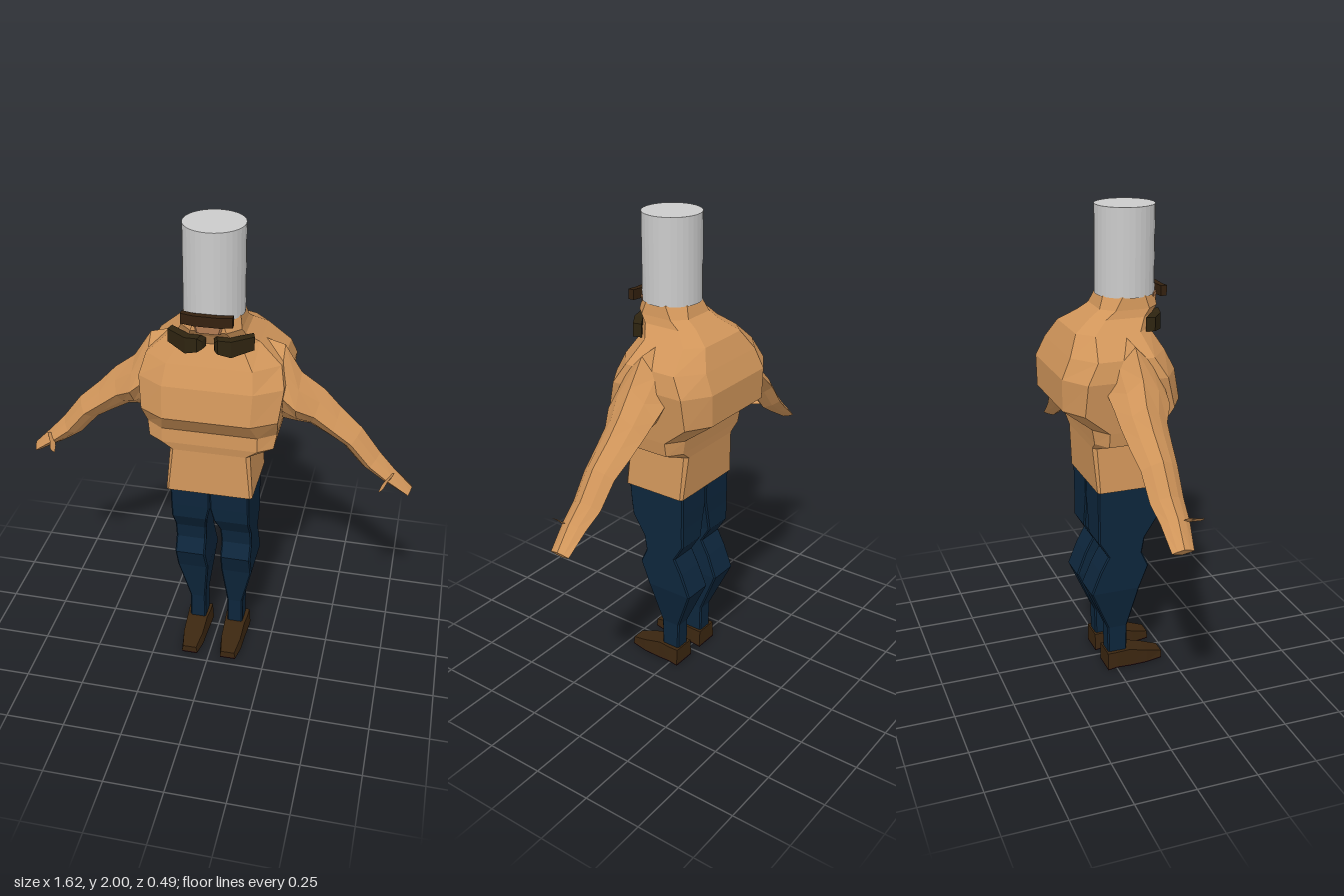
import * as THREE from 'three';

const mat = (name, color) => {
  const m = new THREE.MeshStandardMaterial({ color });
  m.name = name;
  return m;
};

// Faceted closed solid through equal-length rings of [x, y, z] points, wound outward.
function loft(rings) {
  const n = rings[0].length, tris = [];
  for (let r = 0; r < rings.length - 1; r++) {
    for (let i = 0; i < n; i++) {
      const j = (i + 1) % n, a = rings[r], b = rings[r + 1];
      tris.push([a[i], a[j], b[j]], [a[i], b[j], b[i]]);
    }
  }
  const last = rings[rings.length - 1];
  for (let i = 1; i < n - 1; i++) {
    tris.push([rings[0][0], rings[0][i + 1], rings[0][i]], [last[0], last[i], last[i + 1]]);
  }
  let volume = 0;
  for (const [a, b, c] of tris) {
    volume += a[0] * (b[1] * c[2] - b[2] * c[1]) + a[1] * (b[2] * c[0] - b[0] * c[2]) + a[2] * (b[0] * c[1] - b[1] * c[0]);
  }
  const ordered = volume < 0 ? tris.map(([a, b, c]) => [a, c, b]) : tris;
  const geo = new THREE.BufferGeometry();
  geo.setAttribute('position', new THREE.Float32BufferAttribute(ordered.flat(2), 3));
  geo.computeVertexNormals();
  return geo;
}

// Horizontal rectangle with cut corners, sized cx by cz.
const slab = (y, x0, x1, f, b, cx, cz) => [
  [x0 + cx, y, f], [(x0 + x1) / 2, y, f], [x1 - cx, y, f], [x1, y, f - cz], [x1, y, b + cz],
  [x1 - cx, y, b], [(x0 + x1) / 2, y, b], [x0 + cx, y, b], [x0, y, b + cz], [x0, y, f - cz],
];

// Eight-sided limb section between an upper and a lower point.
const limb = ([tx, ty, bx, by, f, b]) => Array.from({ length: 8 }, (_, i) => {
  const k = i % 2 ? 0.8 : 1, u = Math.cos(i * Math.PI / 4) * k, v = Math.sin(i * Math.PI / 4) * k;
  return [(tx + bx) / 2 + (tx - bx) / 2 * u, (ty + by) / 2 + (ty - by) / 2 * u, (f + b) / 2 + (f - b) / 2 * v];
});

const mirror = (rings, s) => rings.map((ring) => ring.map(([x, y, z]) => [x * s, y, z]));

export function createModel() {
  const model = new THREE.Group();
  const tan = mat('tan jacket', 0xd0955a);
  const skin = mat('skin', 0xb07a52);
  const navy = mat('navy trousers', 0x0d263c);
  const brown = mat('brown leather', 0x3b2610);
  const soleDark = mat('dark sole', 0x220a0c);
  const dark = mat('dark hair', 0x34210f);
  const tieDark = mat('dark cloth', 0x2e2410);
  const grey = mat('light grey', 0xcbcbcb);

  const add = (name, geo, material) => {
    const m = new THREE.Mesh(geo, material);
    m.name = name;
    model.add(m);
    return m;
  };

  // Jacket body: y, half width, front, back, corner cut x, corner cut z
  const torso = [
    [0.868, 0.18, 0.19, -0.1, 0.01, 0.01],
    [1.06, 0.165, 0.18, -0.115, 0.015, 0.015],
    [1.095, 0.255, 0.185, -0.12, 0.06, 0.04],
    [1.155, 0.265, 0.18, -0.13, 0.07, 0.05],
    [1.24, 0.275, 0.245, -0.245, 0.1, 0.06],
    [1.37, 0.29, 0.22, -0.247, 0.11, 0.07],
    [1.45, 0.27, 0.18, -0.21, 0.1, 0.08],
    [1.53, 0.18, 0.135, -0.17, 0.06, 0.06],
    [1.575, 0.13, 0.16, -0.1, 0.05, 0.05],
    [1.605, 0.12, 0.185, -0.055, 0.05, 0.05],
    [1.655, 0.112, 0.18, -0.035, 0.06, 0.06],
  ];
  add('jacket', loft(torso.map(([y, w, f, b, cx, cz]) => slab(y, -w, w, f, b, cx, cz))), tan);

  // Chin showing above the collar
  add('chin', loft([
    slab(1.6, -0.06, 0.06, 0.192, 0.1, 0.02, 0.02),
    slab(1.655, -0.075, 0.075, 0.19, 0.1, 0.02, 0.02),
  ]), skin);

  // Plain cylinder head
  const head = new THREE.CylinderGeometry(0.12, 0.12, 0.35, 32).toNonIndexed();
  head.computeVertexNormals();
  add('head', head, grey).position.set(0, 1.825, 0.073);

  // Moustache with raised ends
  add('moustache', loft([[-0.1, 0.005, 0.19], [-0.05, 0, 0.193], [0.05, 0, 0.193], [0.1, 0.005, 0.19]].map(([x, dy, z]) => [
    [x, 1.64 + dy, z], [x, 1.64 + dy, z + 0.025], [x, 1.682 + dy, z + 0.025], [x, 1.682 + dy, z],
  ])), dark);

  // Arm sections: upper x, y, lower x, y, front z, back z
  const arm = [
    [0.18, 1.52, 0.2, 1.2, 0.12, -0.1],
    [0.27, 1.5, 0.27, 1.17, 0.14, -0.1],
    [0.34, 1.39, 0.33, 1.165, 0.14, -0.09],
    [0.43, 1.315, 0.38, 1.15, 0.1, -0.09],
    [0.5, 1.24, 0.46, 1.105, 0.09, -0.08],
    [0.59, 1.157, 0.52, 1.07, 0.082, -0.066],
    [0.67, 1.05, 0.6, 0.98, 0.075, -0.06],
    [0.73, 0.985, 0.68, 0.93, 0.07, -0.045],
    [0.81, 0.9, 0.785, 0.868, 0.05, -0.038],
  ];
  // Leg sections: y, inner x, outer x, front, back
  const leg = [
    [0.08, 0.05, 0.12, 0.05, -0.035],
    [0.2, 0.05, 0.12, 0.052, -0.038],
    [0.4, 0.03, 0.165, 0.09, -0.125],
    [0.5, 0.034, 0.165, 0.13, -0.085],
    [0.565, 0.034, 0.165, 0.1, -0.05],
    [0.635, 0.03, 0.165, 0.112, -0.093],
    [0.72, 0.014, 0.165, 0.168, -0.093],
    [0.785, 0, 0.165, 0.176, -0.094],
    [0.872, 0, 0.165, 0.183, -0.095],
  ];
  // Shoe sections along z: z, bottom, top, half width at the top
  const shoe = [
    [-0.042, 0.006, 0.08, 0.05], [0, 0.012, 0.08, 0.05], [0.06, 0.006, 0.08, 0.045],
    [0.14, 0.006, 0.058, 0.043], [0.215, 0.008, 0.036, 0.03],
  ];

  for (const [side, s] of [['left', 1], ['right', -1]]) {
    add(side + 'Arm', loft(mirror(arm.map(limb), s)), tan);

    // Thumb
    add(side + 'Thumb', loft(mirror([
      limb([0.735, 0.985, 0.705, 0.95, 0.075, 0.03]),
      limb([0.715, 0.97, 0.69, 0.945, 0.1, 0.07]),
      limb([0.7, 0.957, 0.68, 0.938, 0.135, 0.12]),
    ], s)), tan);

    add(side + 'Leg', loft(mirror(leg.map(([y, a, b, f, k]) => slab(y, a, b, f, k, 0.006, 0.006)), s)), navy);

    // Shoe with a thin sole
    add(side + 'Shoe', loft(mirror(shoe.map(([z, y0, y1, w]) => [
      [0.087 - w - 0.005, y0, z], [0.087 + w + 0.005, y0, z], [0.087 + w, y1, z], [0.087 - w, y1, z],
    ]), s)), brown);
    add(side + 'Sole', loft(mirror(shoe.map(([z, y0, , w]) => [
      [0.087 - w - 0.004, y0 - 0.006, z], [0.087 + w + 0.004, y0 - 0.006, z],
      [0.087 + w + 0.004, y0 + 0.001, z], [0.087 - w - 0.004, y0 + 0.001, z],
    ]), s)), soleDark);

    // Bow tie wing sweeping back: x, low y, high y, front z
    const wing = [[0.025, 1.53, 1.565, 0.19], [0.04, 1.525, 1.582, 0.205], [0.09, 1.51, 1.577, 0.195], [0.17, 1.525, 1.58, 0.14]];
    add(side + 'BowTieWing', loft(mirror(wing.map(([x, y0, y1, z]) => [
      [x, y0, z], [x, y1, z], [x - 0.01, y1, z - 0.035], [x - 0.01, y0, z - 0.035],
    ]), s)), tieDark);
  }
  return model;
}
